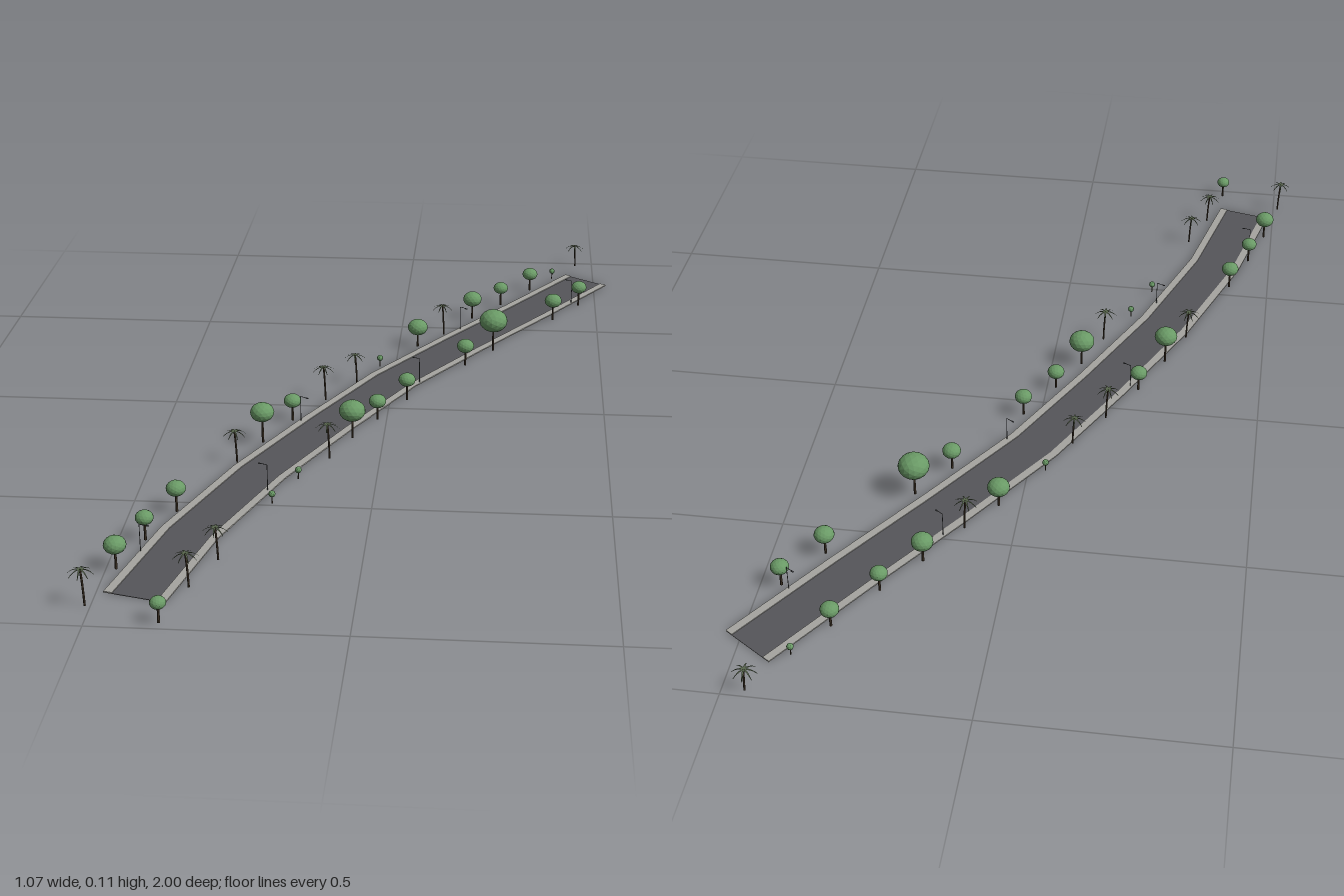
import * as THREE from 'three';

const mat = (color, side = THREE.FrontSide) =>
  new THREE.MeshStandardMaterial({ color, side, flatShading: true });
const asphalt = mat(0x56565a, THREE.DoubleSide);
const paving = mat(0xa6a5a0, THREE.DoubleSide);
const bark = mat(0x4a3d2e);
const leaf = mat(0x6a9a66);
const palmLeaf = mat(0x55634a, THREE.DoubleSide);
const metal = mat(0x55585a);

// Centre line of the road: x, z
const centre = [
  [-0.423, 0.892], [-0.36, 0.63], [-0.255, 0.35], [-0.13, 0.09],
  [0, -0.16], [0.16, -0.4], [0.32, -0.63], [0.48, -0.868],
].map(([x, z]) => new THREE.Vector3(x, 0, z));
const roadCurve = new THREE.CatmullRomCurve3(centre);

// Round tree crowns: x, z, crown height, crown radius
const trees = [
  [-0.48, 0.785, 0.054, 0.023], [-0.445, 0.665, 0.051, 0.019],
  [-0.403, 0.54, 0.054, 0.021], [-0.36, 0.977, 0.043, 0.016],
  [-0.268, 0.2, 0.074, 0.027], [-0.215, 0.08, 0.049, 0.02],
  [-0.07, 0.163, 0.067, 0.03], [-0.021, 0.062, 0.046, 0.02],
  [0.04, -0.05, 0.052, 0.02], [0.047, -0.375, 0.052, 0.025],
  [0.17, -0.265, 0.051, 0.021], [0.178, -0.572, 0.054, 0.024],
  [0.236, -0.362, 0.08, 0.035], [0.25, -0.672, 0.048, 0.019],
  [0.327, -0.787, 0.046, 0.02], [0.387, -0.577, 0.053, 0.022],
  [0.456, -0.684, 0.051, 0.02],
];
const bushes = [[-0.21, 0.49], [-0.168, 0.375], [-0.038, -0.243], [0.388, -0.877]];
// Palms: x, z, height
const palms = [
  [-0.515, 0.927, 0.08], [-0.33, 0.845, 0.076], [-0.29, 0.735, 0.074],
  [-0.315, 0.305, 0.077], [-0.115, 0.27, 0.084], [-0.155, -0.037, 0.085],
  [-0.09, -0.14, 0.074], [0.105, -0.458, 0.08], [0.45, -0.983, 0.06],
];

// Slab swept along the road between two sideways offsets
function slab(name, a, b, y0, y1, material) {
  const pos = [], index = [];
  const last = centre.length - 1;
  centre.forEach((p, i) => {
    const t = roadCurve.getTangent(i / last);
    for (const [o, y] of [[a, y0], [b, y0], [b, y1], [a, y1]])
      pos.push(p.x - t.z * o, y, p.z + t.x * o);
  });
  for (let i = 0; i < last; i++)
    for (let k = 0; k < 4; k++) {
      const p = i * 4 + k, q = i * 4 + (k + 1) % 4;
      index.push(p, p + 4, q, q, p + 4, q + 4);
    }
  const e = last * 4;
  index.push(0, 1, 2, 0, 2, 3, e, e + 2, e + 1, e, e + 3, e + 2);
  const g = new THREE.BufferGeometry();
  g.setAttribute('position', new THREE.Float32BufferAttribute(pos, 3));
  g.setIndex(index);
  g.computeVertexNormals();
  const m = new THREE.Mesh(g, material);
  m.name = name;
  return m;
}

function add(group, name, geometry, material, x = 0, y = 0, z = 0) {
  const m = new THREE.Mesh(geometry, material);
  m.name = name;
  m.position.set(x, y, z);
  group.add(m);
  return m;
}

function named(name, x, z) {
  const g = new THREE.Group();
  g.name = name;
  g.position.set(x, 0, z);
  return g;
}

function makeTree([x, z, y, r], i) {
  const g = named('tree', x, z);
  add(g, 'trunk', new THREE.CylinderGeometry(0.0022, 0.003, y, 6), bark, 0, y / 2, 0);
  const crown = add(g, 'crown', new THREE.IcosahedronGeometry(r, 2), leaf, 0, y, 0);
  crown.scale.y = 0.8;
  crown.rotation.y = i * 1.3;
  return g;
}

function makeBush([x, z]) {
  const g = named('bush', x, z);
  add(g, 'stem', new THREE.CylinderGeometry(0.001, 0.0015, 0.022, 5), bark, 0, 0.011, 0);
  add(g, 'foliage', new THREE.IcosahedronGeometry(0.0075, 1), leaf, 0, 0.022, 0);
  return g;
}

// Drooping blade, tapered to its tip
function frondGeometry(length) {
  const g = new THREE.PlaneGeometry(length, 0.005, 4, 1).rotateX(-Math.PI / 2);
  g.translate(length / 2, 0, 0);
  const p = g.attributes.position;
  for (let i = 0; i < p.count; i++) {
    const t = p.getX(i) / length;
    p.setY(i, 0.008 * t - 0.017 * t * t);
    p.setZ(i, p.getZ(i) * (1 - 0.75 * t));
  }
  g.computeVertexNormals();
  return g;
}

function makePalm([x, z, h], n) {
  const g = named('palm', x, z);
  const path = new THREE.QuadraticBezierCurve3(
    new THREE.Vector3(0.004, 0, 0), new THREE.Vector3(0.003, h * 0.6, 0), new THREE.Vector3(0, h - 0.001, 0));
  add(g, 'trunk', new THREE.TubeGeometry(path, 6, 0.0022, 6), bark);
  const blade = frondGeometry(0.026);
  for (let i = 0; i < 8; i++)
    add(g, 'frond', blade, palmLeaf, 0, h - 0.002, 0).rotation.y = (i / 8) * Math.PI * 2 + n * 0.4;
  return g;
}

// Thin lamp post with an arm over the road
function makeLamp(t, side) {
  const p = roadCurve.getPointAt(t), d = roadCurve.getTangentAt(t);
  const g = named('streetLamp', p.x - d.z * 0.06 * side, p.z + d.x * 0.06 * side);
  g.rotation.y = Math.atan2(-d.x * -side, d.z * side);
  add(g, 'post', new THREE.CylinderGeometry(0.0007, 0.001, 0.063, 5), metal, 0, 0.0315, 0);
  add(g, 'arm', new THREE.BoxGeometry(0.018, 0.001, 0.001), metal, 0.009, 0.063, 0);
  add(g, 'lampHead', new THREE.BoxGeometry(0.006, 0.0015, 0.003), metal, 0.018, 0.0625, 0);
  return g;
}

export function createModel() {
  const model = new THREE.Group();
  model.name = 'treeLinedRoad';
  model.add(slab('roadway', -0.047, 0.047, 0, 0.001, asphalt));
  for (const s of [-1, 1])
    model.add(slab('sidewalk', s * 0.047, s * 0.065, 0, 0.003, paving));
  trees.forEach((t, i) => model.add(makeTree(t, i)));
  bushes.forEach((b) => model.add(makeBush(b)));
  palms.forEach((p, i) => model.add(makePalm(p, i)));
  for (let i = 0; i < 6; i++) model.add(makeLamp((i + 0.5) / 6, i % 2 ? 1 : -1));
  return model;
}
